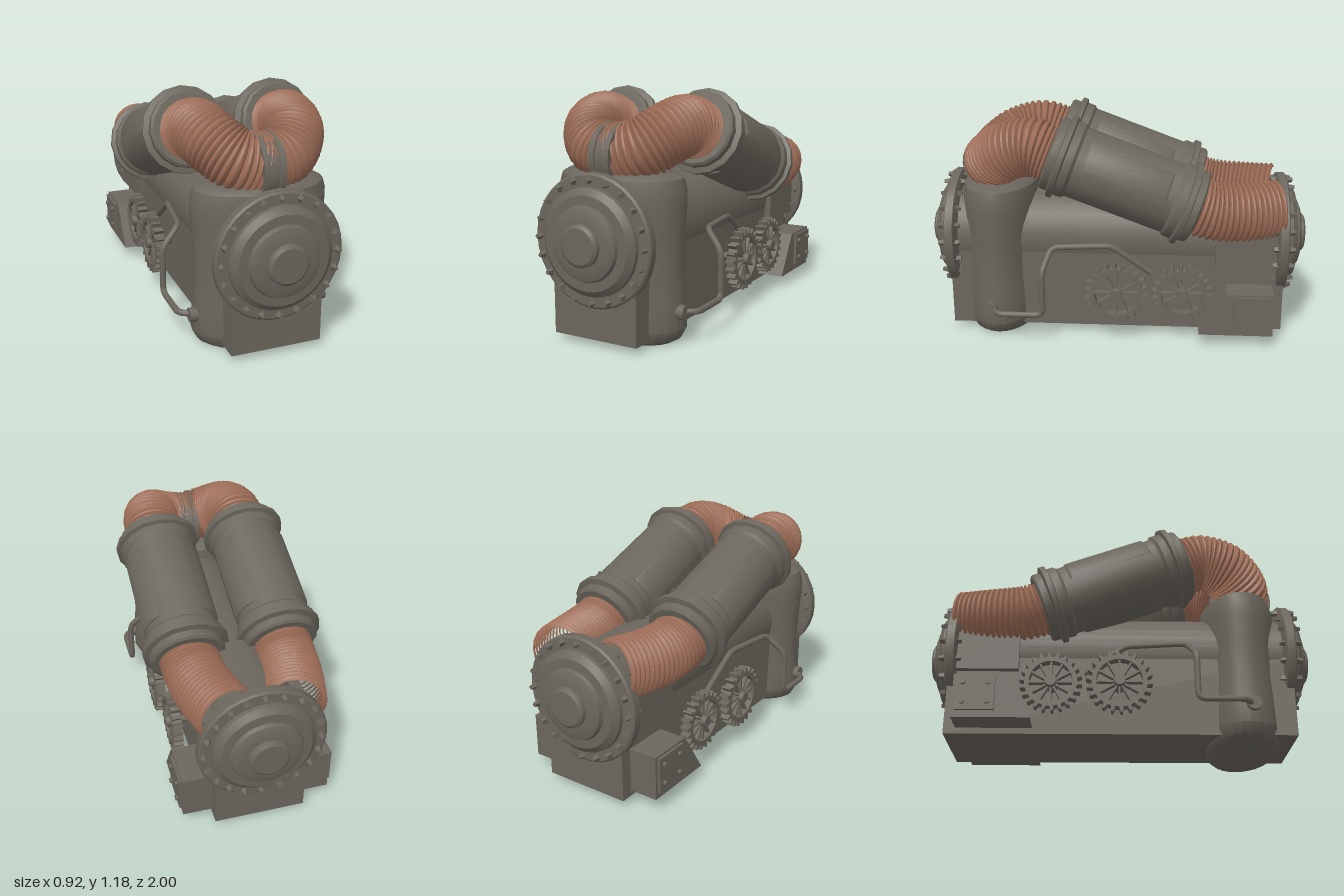
import * as THREE from 'three';
import { toCreasedNormals } from 'three/addons/utils/BufferGeometryUtils.js';

const V = (x, y, z) => new THREE.Vector3(x, y, z);
const steel = new THREE.MeshStandardMaterial({ color: 0x6b665d });
steel.name = 'dull steel';
const copper = new THREE.MeshStandardMaterial({ color: 0x9c6c56 });
copper.name = 'copper hose';

function add(parent, name, geometry, material = steel) {
  const mesh = new THREE.Mesh(geometry, material);
  mesh.name = name;
  parent.add(mesh);
  return mesh;
}

function group(parent, name) {
  const g = new THREE.Group();
  g.name = name;
  parent.add(g);
  return g;
}

const box = (w, h, d, x, y, z) => new THREE.BoxGeometry(w, h, d).translate(x, y, z);
const lathe = (pts, sides, start = 0, sweep = Math.PI * 2) => toCreasedNormals(
  new THREE.LatheGeometry(pts.map(([r, y]) => new THREE.Vector2(r, y)), sides, start, sweep), 0.55);

// Tube of rings along a curve, swelling into one ridge per rib
function ribbedHose(curve, ribs) {
  const sides = 20, steps = ribs * 4, pos = [], index = [];
  const ridge = [0.133, 0.149, 0.152, 0.147];
  for (let i = 0; i <= steps; i++) {
    const p = curve.getPointAt(i / steps), t = curve.getTangentAt(i / steps);
    const right = V(0, 1, 0).cross(t).normalize(), up = t.clone().cross(right);
    for (let j = 0; j <= sides; j++) {
      const a = j / sides * Math.PI * 2, r = ridge[i % 4];
      const v = p.clone().addScaledVector(right, r * Math.cos(a)).addScaledVector(up, r * Math.sin(a));
      pos.push(v.x, v.y, v.z);
      if (i < steps && j < sides) {
        const k = i * (sides + 1) + j, n = k + sides + 1;
        index.push(k, k + 1, n, k + 1, n + 1, n);
      }
    }
  }
  const g = new THREE.BufferGeometry();
  g.setAttribute('position', new THREE.Float32BufferAttribute(pos, 3));
  g.setIndex(index);
  return toCreasedNormals(g, 0.6);
}

// Straight pipe runs with rounded corners
function bentPipe(points, radius, bend) {
  const path = new THREE.CurvePath();
  let last = points[0];
  for (let i = 1; i < points.length - 1; i++) {
    const p = points[i];
    const a = p.clone().add(points[i - 1].clone().sub(p).setLength(bend));
    const b = p.clone().add(points[i + 1].clone().sub(p).setLength(bend));
    path.add(new THREE.LineCurve3(last, a));
    path.add(new THREE.QuadraticBezierCurve3(a, p, b));
    last = b;
  }
  path.add(new THREE.LineCurve3(last, points[points.length - 1]));
  return new THREE.TubeGeometry(path, 90, radius, 8);
}

// Spoked cog facing +x
function buildCog(parent, name, radius, teeth) {
  const cog = group(parent, name);
  const outline = new THREE.Shape();
  for (let i = 0; i < teeth; i++) {
    [[0, 0.84], [0.45, 0.84], [0.6, 1], [0.85, 1]].forEach(([f, k], n) => {
      const a = (i + f) / teeth * Math.PI * 2, x = Math.cos(a) * radius * k, y = Math.sin(a) * radius * k;
      if (i + n === 0) outline.moveTo(x, y); else outline.lineTo(x, y);
    });
  }
  outline.holes.push(new THREE.Path().absarc(0, 0, radius * 0.7, 0, Math.PI * 2, true));
  const rim = new THREE.ExtrudeGeometry(outline, { depth: 0.05, bevelEnabled: false, curveSegments: 12 });
  add(cog, 'cogRim', rim.translate(0, 0, -0.025).rotateY(Math.PI / 2));
  add(cog, 'cogHub', new THREE.CylinderGeometry(0.028, 0.034, 0.08, 14).rotateZ(-Math.PI / 2));
  add(cog, 'cogAxle', new THREE.CylinderGeometry(0.02, 0.02, 0.14, 10).rotateZ(Math.PI / 2).translate(-0.07, 0, 0));
  for (let i = 0; i < 12; i++) {
    add(cog, 'cogSpoke', box(0.03, radius * 0.72, 0.01, 0, radius * 0.37, 0)).rotation.x = i * Math.PI / 6;
  }
  return cog;
}

// Round end cover with bolts, facing +z
function buildEndCover(parent, name) {
  const cover = group(parent, name);
  add(cover, 'coverDisc', lathe([[0, 0.835], [0.3, 0.835], [0.32, 0.845], [0.32, 0.885], [0.31, 0.893], [0.258, 0.895],
    [0.255, 0.915], [0.225, 0.94], [0.18, 0.942], [0.172, 0.96], [0.14, 0.972], [0.102, 0.974],
    [0.1, 0.99], [0.085, 1], [0, 1]], 32).rotateX(Math.PI / 2));
  for (let i = 0; i < 20; i++) {
    const a = i / 20 * Math.PI * 2;
    for (const s of [1, -1]) {
      const bolt = add(cover, 'coverBolt', toCreasedNormals(
        new THREE.CylinderGeometry(0.012, 0.021, 0.04, 4).rotateX(s * Math.PI / 2), 0.5));
      bolt.position.set(Math.cos(a) * 0.29, 0.51 + Math.sin(a) * 0.29, 0.868 + s * 0.036);
      bolt.rotation.z = a;
    }
  }
  cover.children[0].position.y = 0.51;
  return cover;
}

// One side: canister, hoses, pipe, cogs and rear bracket, built at +x
function buildSide(parent, s) {
  const side = group(parent, s > 0 ? 'leftSide' : 'rightSide');

  // Tilted canister with raised panels
  const canister = group(side, 'canister');
  canister.position.set(s * 0.24, 0.855, -0.045);
  canister.rotation.x = Math.atan2(0.63, 0.235);
  const half = [[0.12, -0.4], [0.18, -0.4], [0.192, -0.39], [0.192, -0.355], [0.22, -0.348], [0.22, -0.322],
    [0.2, -0.315], [0.2, -0.275], [0.186, -0.26]];
  add(canister, 'canisterShell', lathe([...half, ...half.map(([r, y]) => [r, -y]).reverse()], 16));
  for (const deg of [30, 150, 270]) {
    add(canister, 'canisterPanel', lathe([[0.18, -0.22], [0.19, -0.22], [0.196, -0.21], [0.196, 0.21], [0.19, 0.22],
      [0.18, 0.22]], 6, THREE.MathUtils.degToRad(90 + deg - 23), THREE.MathUtils.degToRad(46)));
  }

  // Ribbed hoses
  const front = new THREE.CatmullRomCurve3([V(s * 0.24, 0.98, 0.31), V(s * 0.235, 1.015, 0.43), V(s * 0.205, 0.985, 0.56),
    V(s * 0.12, 0.92, 0.65), V(0, 0.885, 0.67)]);
  add(side, 'frontHose', ribbedHose(front, 24), copper);
  const rear = new THREE.CatmullRomCurve3([V(s * 0.24, 0.73, -0.38), V(s * 0.235, 0.695, -0.5), V(s * 0.215, 0.685, -0.65),
    V(s * 0.165, 0.69, -0.84)]);
  add(side, 'rearHose', ribbedHose(rear, 18), copper);

  // Thin pipe from the column to the cogs
  add(side, 'thinPipe', bentPipe([V(s * 0.31, 0.16, 0.65), V(s * 0.4, 0.16, 0.61), V(s * 0.4, 0.16, 0.37),
    V(s * 0.4, 0.4, 0.37), V(s * 0.3, 0.5, 0.33), V(s * 0.26, 0.5, 0.02), V(s * 0.25, 0.35, -0.19)], 0.016, 0.04));
  add(side, 'pipeSocket', new THREE.CylinderGeometry(0.036, 0.036, 0.06, 14).rotateZ(Math.PI / 2)).position.set(s * 0.33, 0.16, 0.65);

  // Cogs
  [['largeCog', 0.165, -0.01, 0.335], ['smallCog', 0.155, -0.35, 0.32]].forEach(([name, r, z, x]) => {
    const cog = buildCog(side, name, r, 22);
    cog.position.set(s * x, 0.27, z);
    if (s < 0) cog.rotation.y = Math.PI;
  });

  // Sloped bracket with a bolted plate
  const shape = new THREE.Shape([[0.44, 0.065], [0.82, 0.065], [0.82, 0.29], [0.58, 0.29]].map(p => new THREE.Vector2(...p)));
  const bracket = new THREE.ExtrudeGeometry(shape, { depth: 0.18, bevelEnabled: false });
  add(side, 'rearBracket', bracket.rotateY(Math.PI / 2).translate(s > 0 ? 0.2 : -0.38, 0, 0));
  add(side, 'bracketPlate', box(0.02, 0.18, 0.19, s * 0.385, 0.19, -0.71));
  for (const y of [0.14, 0.24]) for (const z of [-0.65, -0.77]) {
    add(side, 'bracketBolt', new THREE.CylinderGeometry(0.013, 0.013, 0.02, 10).rotateZ(Math.PI / 2)).position.set(s * 0.398, y, z);
  }
}

export function createModel() {
  const model = new THREE.Group();
  model.name = 'pipeEngine';

  // Lower block with a drum lying in it
  add(model, 'lowerBlock', box(0.46, 0.42, 1.76, 0, 0.245, 0));
  add(model, 'drum', new THREE.CylinderGeometry(0.24, 0.24, 1.72, 32).rotateX(Math.PI / 2)).position.y = 0.51;
  add(model, 'rearBlock', box(0.53, 0.26, 0.33, 0, 0.5, -0.685));

  // Upright oval column at the front
  const column = lathe([[0, 0], [0.28, 0], [0.31, 0.018], [0.338, 0.07], [0.332, 0.2], [0.322, 0.35], [0.328, 0.52], [0.34, 0.66],
    [0.34, 0.74], [0.325, 0.79], [0.29, 0.81], [0, 0.81]], 28);
  add(model, 'frontColumn', column.scale(1, 1, 0.59)).position.z = 0.63;

  // Coupling where the front hoses meet
  const coupling = lathe([[0.1, -0.055], [0.166, -0.055], [0.166, -0.028], [0.156, -0.024], [0.156, 0.024], [0.166, 0.028],
    [0.166, 0.055], [0.1, 0.055]], 24);
  add(model, 'hoseCoupling', coupling.rotateZ(Math.PI / 2)).position.set(0, 0.88, 0.665);

  buildEndCover(model, 'frontCover');
  buildEndCover(model, 'rearCover').rotation.y = Math.PI;
  for (const s of [1, -1]) buildSide(model, s);
  return model;
}
